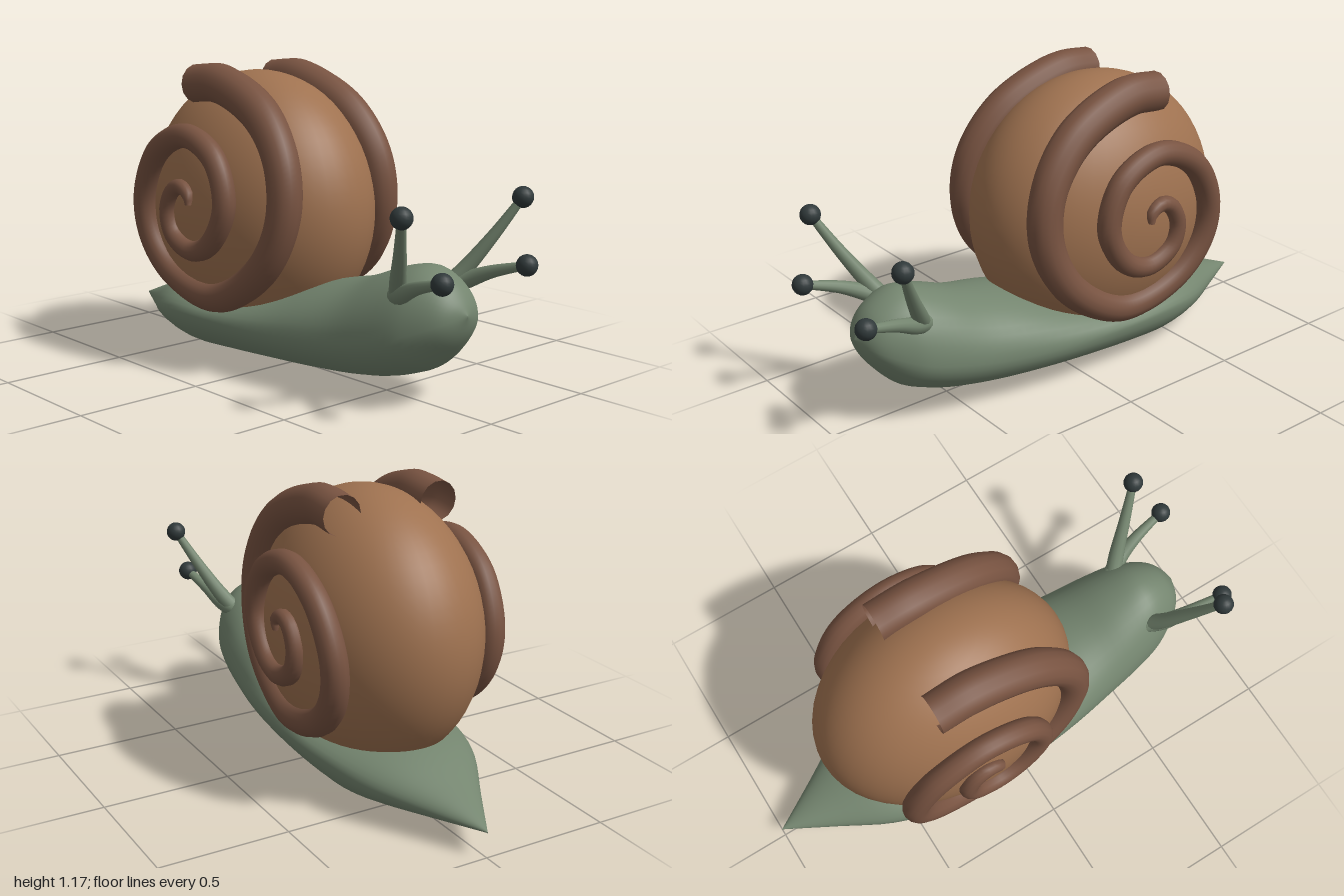
import * as THREE from 'three';

const mat = (name, color) => {
  const m = new THREE.MeshStandardMaterial({ color });
  m.name = name;
  return m;
};

// Tube along [x, y, z, radius] points, with the radius varying along its length
function taperedTube(points, segments, sides) {
  const curve = new THREE.CatmullRomCurve3(points.map(p => new THREE.Vector3(p[0], p[1], p[2])));
  const geo = new THREE.TubeGeometry(curve, segments, 1, sides);
  const { position, normal } = geo.attributes;
  for (let i = 0; i <= segments; i++) {
    const centre = curve.getPointAt(i / segments);
    const f = curve.getUtoTmapping(i / segments) * (points.length - 1);
    const k = Math.min(Math.floor(f), points.length - 2);
    const r = THREE.MathUtils.lerp(points[k][3], points[k + 1][3], f - k);
    for (let j = 0; j <= sides; j++) {
      const n = i * (sides + 1) + j;
      position.setXYZ(n, centre.x + normal.getX(n) * r,
        centre.y + normal.getY(n) * r, centre.z + normal.getZ(n) * r);
    }
  }
  return geo;
}

// Body cross-sections from nose to tail: z, top, bottom, height of widest line, half width
const SECTIONS = [
  [0.885, 0.36, 0.355, 0.358, 0.0],
  [0.86, 0.41, 0.285, 0.34, 0.075],
  [0.82, 0.46, 0.225, 0.32, 0.125],
  [0.75, 0.5, 0.15, 0.29, 0.172],
  [0.68, 0.51, 0.115, 0.265, 0.202],
  [0.57, 0.48, 0.08, 0.24, 0.227],
  [0.43, 0.425, 0.057, 0.215, 0.25],
  [0.25, 0.38, 0.043, 0.2, 0.28],
  [0.05, 0.32, 0.033, 0.19, 0.3],
  [-0.2, 0.27, 0.016, 0.185, 0.306],
  [-0.42, 0.265, 0.003, 0.175, 0.285],
  [-0.6, 0.25, 0.035, 0.15, 0.23],
  [-0.8, 0.18, 0.067, 0.12, 0.115],
  [-1.0, 0.102, 0.098, 0.1, 0.0],
];

function bodyGeometry(rings = 52, sides = 40) {
  const spline = pick => new THREE.CatmullRomCurve3(
    SECTIONS.map(s => new THREE.Vector3(...pick(s))), false, 'catmullrom', 0.5);
  const outline = spline(s => [s[0], s[1], s[2]]);
  const girth = spline(s => [s[3], s[4], 0]);
  const pos = [], index = [];
  for (let i = 0; i <= rings; i++) {
    const o = outline.getPoint(i / rings), g = girth.getPoint(i / rings);
    for (let j = 0; j < sides; j++) {
      const a = j / sides * Math.PI * 2, s = Math.sin(a);
      pos.push(Math.cos(a) * Math.max(g.y, 0), g.x + s * (s > 0 ? o.y - g.x : g.x - o.z), o.x);
      if (i === rings) continue;
      const p = i * sides + j, q = i * sides + (j + 1) % sides;
      index.push(p, p + sides, q + sides, p, q + sides, q);
    }
  }
  const geo = new THREE.BufferGeometry();
  geo.setAttribute('position', new THREE.Float32BufferAttribute(pos, 3));
  geo.setIndex(index);
  geo.computeVertexNormals();
  return geo;
}

// Coil centre line on the left flank, from the open outer end inwards
const COIL = [
  [0.2, 1.085, -0.36, 0.076],
  [0.2, 1.09, -0.2, 0.078],
  [0.215, 0.99, 0.05, 0.074],
  [0.235, 0.82, 0.185, 0.068],
  [0.25, 0.62, 0.205, 0.066],
  [0.272, 0.42, 0.105, 0.063],
  [0.29, 0.285, -0.13, 0.06],
  [0.305, 0.34, -0.38, 0.056],
  [0.32, 0.47, -0.505, 0.053],
  [0.332, 0.63, -0.53, 0.051],
  [0.345, 0.82, -0.43, 0.049],
  [0.35, 0.903, -0.24, 0.047],
  [0.355, 0.83, -0.06, 0.046],
  [0.358, 0.66, 0.0, 0.045],
  [0.362, 0.51, -0.08, 0.042],
  [0.366, 0.468, -0.19, 0.04],
  [0.37, 0.52, -0.3, 0.038],
  [0.372, 0.61, -0.328, 0.036],
  [0.374, 0.69, -0.29, 0.033],
  [0.376, 0.71, -0.24, 0.029],
  [0.378, 0.685, -0.195, 0.024],
  [0.38, 0.645, -0.19, 0.012],
];

const UPPER_STALK = [
  [0.12, 0.4, 0.67, 0.034], [0.17, 0.47, 0.715, 0.031],
  [0.235, 0.59, 0.785, 0.023], [0.307, 0.735, 0.86, 0.015],
];
const LOWER_STALK = [
  [0.13, 0.41, 0.67, 0.036], [0.165, 0.435, 0.73, 0.033],
  [0.19, 0.475, 0.82, 0.024], [0.216, 0.518, 0.96, 0.015],
];

export function createModel() {
  const skin = mat('skin green', 0x74856f);
  const shellBrown = mat('shell brown', 0x9f7250);
  const coilBrown = mat('coil brown', 0x785341);
  coilBrown.side = THREE.DoubleSide; // the outer end of the coil is open
  const eyeBlack = mat('eye black', 0x30393a);

  const model = new THREE.Group();
  model.name = 'snail';
  const add = (name, geo, material) => {
    const mesh = new THREE.Mesh(geo, material);
    mesh.name = name;
    model.add(mesh);
    return mesh;
  };

  add('body', bodyGeometry(), skin);

  // Shell: a ball flattened sideways
  const shell = add('shell', new THREE.SphereGeometry(1, 48, 32), shellBrown);
  shell.scale.set(0.375, 0.527, 0.527);
  shell.position.set(0, 0.61, -0.215);

  // Coils, stalks and eyes on both sides
  for (const [side, s] of [['left', 1], ['right', -1]]) {
    const mirror = pts => pts.map(([x, y, z, r]) => [x * s, y, z, r]);
    add(side + 'Coil', taperedTube(mirror(COIL), 180, 14), coilBrown);
    for (const [level, path] of [['Upper', UPPER_STALK], ['Lower', LOWER_STALK]]) {
      const pts = mirror(path);
      add(side + level + 'Stalk', taperedTube(pts, 16, 12), skin);
      const [x, y, z] = pts[pts.length - 1];
      add(side + level + 'Eye', new THREE.SphereGeometry(0.039, 16, 12), eyeBlack).position.set(x, y, z);
    }
  }
  return model;
}
